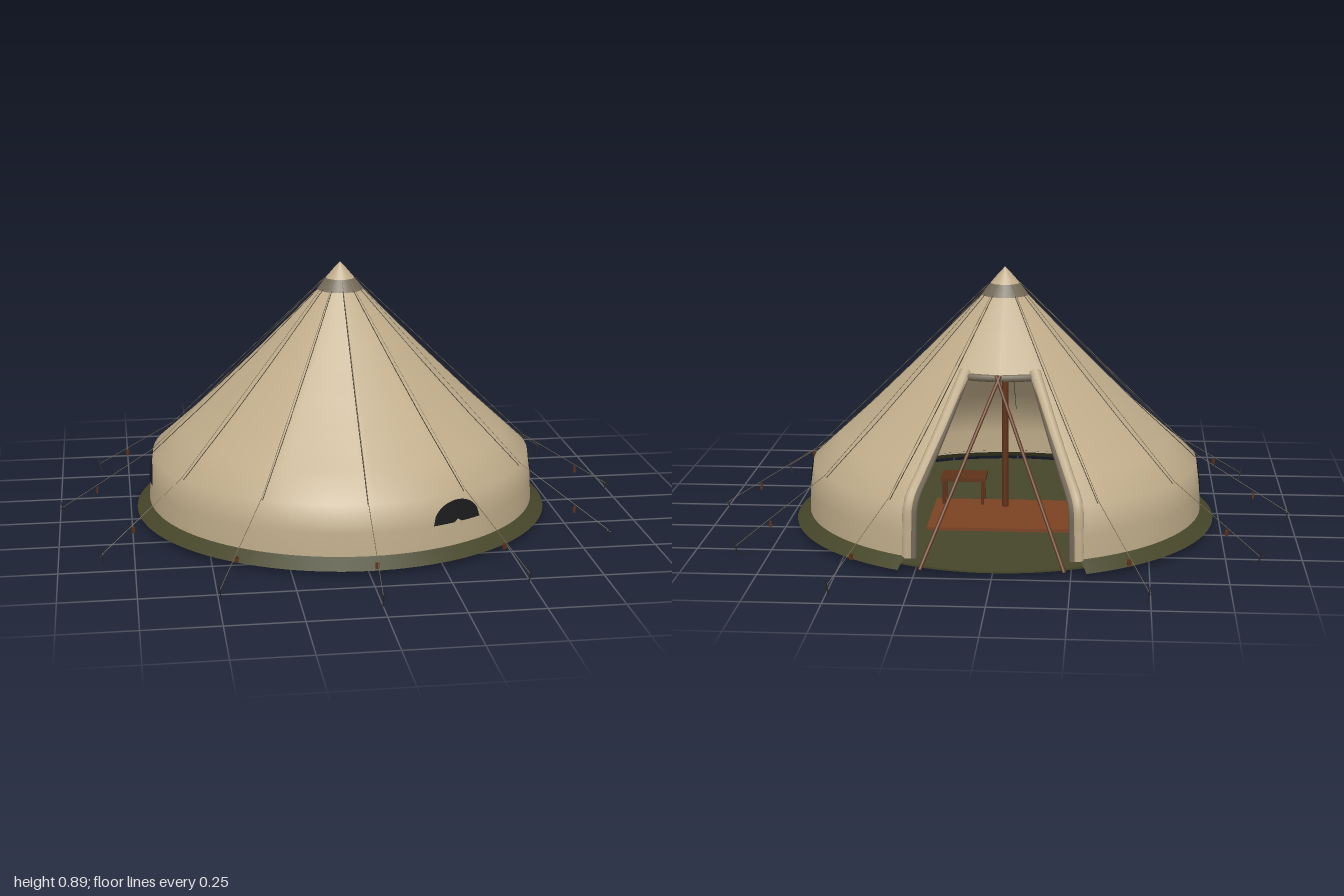
import * as THREE from 'three';

const mat = (name, color, side = THREE.FrontSide) => {
  const m = new THREE.MeshStandardMaterial({ color, side });
  m.name = name;
  return m;
};
const V = (x, y, z) => new THREE.Vector3(x, y, z);
// point at radius r, height y, angle a (0 = front, +90 degrees = +x)
const polar = (r, y, a) => V(r * Math.sin(a), y, r * Math.cos(a));
const P2 = (list) => list.map(([x, y]) => new THREE.Vector2(x, y));
const PANEL = Math.PI / 6;

// Lathe whose roof sags a little between the twelve seams
const clothLathe = (profile, segs, start, sweep) => {
  const g = new THREE.LatheGeometry(P2(profile), segs, start, sweep);
  const p = g.attributes.position;
  for (let i = 0; i < p.count; i++) {
    const a = Math.atan2(p.getX(i), p.getZ(i));
    const t = THREE.MathUtils.euclideanModulo(a, PANEL) - PANEL / 2;
    const w = 0.6 * THREE.MathUtils.clamp((p.getY(i) - 0.225) / 0.13, 0, 1);
    const k = THREE.MathUtils.lerp(1, Math.cos(PANEL / 2) / Math.cos(t), w);
    p.setX(i, p.getX(i) * k);
    p.setZ(i, p.getZ(i) * k);
  }
  g.computeVertexNormals();
  return g;
};

export function createModel() {
  const canvas = mat('canvas', 0xbfac8a, THREE.DoubleSide);
  const capBand = mat('cap band', 0x746a58, THREE.DoubleSide);
  const green = mat('groundsheet green', 0x46462a, THREE.DoubleSide);
  const wood = mat('wood', 0x5e3219);
  const rugBrown = mat('rug brown', 0x7a4222);
  const rope = mat('rope', 0x75684f);
  const seamDark = mat('seam dark', 0x40392e);
  const black = mat('window black', 0x1b1b1d, THREE.DoubleSide);
  const steel = mat('peg steel', 0x262626);

  const tent = new THREE.Group();
  tent.name = 'bellTent';
  tent.position.z = -0.068;

  const add = (name, geo, material, parent = tent) => {
    const m = new THREE.Mesh(geo, material);
    m.name = name;
    parent.add(m);
    return m;
  };
  const rod = (name, a, b, r, material, sides = 8, parent = tent) => {
    const d = b.clone().sub(a);
    const m = add(name, new THREE.CylinderGeometry(r, r, d.length(), sides), material, parent);
    m.position.copy(a).addScaledVector(d, 0.5);
    m.quaternion.setFromUnitVectors(V(0, 1, 0), d.normalize());
    return m;
  };
  const tube = (name, pts, r, material, segs = 32, sides = 8) =>
    add(name, new THREE.TubeGeometry(new THREE.CatmullRomCurve3(pts), segs, r, sides), material);

  const half = 0.425;                       // half angle of the doorway
  const start = -Math.PI + half;
  const sweep = 2 * (Math.PI - half);

  // Wall and lower roof, open at the doorway
  const lower = [[0.683, 0.045], [0.679, 0.13], [0.667, 0.222], [0.58, 0.303],
    [0.47, 0.404], [0.37, 0.501], [0.295, 0.574]];
  const upper = [[0.295, 0.574], [0.18, 0.69], [0.07, 0.803]];
  add('wallAndRoof', clothLathe(lower, 132, start, sweep), canvas);
  add('upperRoof', clothLathe(upper, 96, 0, Math.PI * 2), canvas);

  // Peak cap
  add('capBand', new THREE.LatheGeometry(P2([[0.08, 0.794], [0.066, 0.813], [0.05, 0.834]]), 24), capBand);
  add('capTip', new THREE.LatheGeometry(P2([[0.05, 0.834], [0.022, 0.867], [0.0, 0.89]]), 24), canvas);

  // Groundsheet: floor disc plus sloping skirt
  const floor = add('floor', new THREE.CylinderGeometry(0.672, 0.672, 0.006, 96), green);
  floor.position.y = 0.02;
  add('skirt', new THREE.LatheGeometry(P2([[0.728, 0.018], [0.682, 0.052]]), 96, start, sweep), green);

  // Rolled door flaps with a darker inner edge, and the hem over the doorway
  for (const s of [-1, 1]) {
    const along = (a) => lower.map(([r, y]) =>
      polar(r - 0.014, y + (y > 0.25 ? 0.004 : 0), Math.PI + s * a));
    tube(s < 0 ? 'leftDoorRoll' : 'rightDoorRoll', along(half - 0.005), 0.02, canvas, 40, 10);
    tube('doorEdge', along(half - 0.035), 0.011, capBand, 40, 6);
  }
  const hem = [];
  for (let i = 0; i <= 8; i++) hem.push(polar(0.292, 0.562, Math.PI + half * (i / 4 - 1)));
  tube('doorHem', hem, 0.012, capBand, 24);

  // A-frame door poles and centre pole
  for (const s of [-1, 1])
    rod('doorPole', V(s * 0.23, 0.02, -0.662), V(-s * 0.006, 0.585, -0.355), 0.006, wood);
  rod('centrePole', V(0, 0.024, 0), V(0, 0.86, 0), 0.011, wood, 12);

  // Half-round windows curved onto the wall
  const windowAt = (a) => {
    const g = new THREE.PlaneGeometry(2, 1, 24, 4);
    const p = g.attributes.position;
    for (let i = 0; i < p.count; i++) {
      const u = p.getX(i), v = p.getY(i) + 0.5;
      const foot = Math.max(0, 0.01 - Math.abs(u) * 0.06);
      const top = 0.13 + 0.074 * Math.sqrt(Math.max(0, 1 - u * u));
      const y = THREE.MathUtils.lerp(0.13 + foot, top, v);
      const q = polar(0.683 - (y - 0.13) * 0.13, y, a + u * 0.14);
      p.setXYZ(i, q.x, q.y, q.z);
    }
    g.computeVertexNormals();
    add('window', g, black);
  };
  [Math.PI / 2, -Math.PI / 2, 0.47].forEach(windowAt);

  // Seams, guy ropes, sliders and pegs, none in front of the door
  for (let i = 0; i < 12; i++) {
    if (i === 6) continue;
    const a = i * PANEL;
    tube('roofSeam', lower.slice(2).concat(upper.slice(1)).map(([r, y]) => polar(r, y + 0.001, a)),
      0.0014, seamDark, 24, 5);
    const eave = polar(0.672, 0.232, a), pegTop = polar(0.992, 0.03, a);
    rod('roofRope', eave, polar(0.055, 0.832, a), 0.0009, rope, 5);
    rod('guyRope', eave, pegTop, 0.0011, rope, 5);
    const slider = add('ropeSlider', new THREE.BoxGeometry(0.012, 0.02, 0.006), wood);
    slider.position.copy(polar(0.868, 0.09, a));
    slider.rotation.y = a;
    rod('peg', polar(0.982, 0, a), polar(0.997, 0.052, a), 0.0022, steel, 6);
    rod('pegHook', polar(0.984, 0.03, a), polar(0.998, 0.026, a), 0.002, steel, 5);
  }

  // Rug and low table inside
  const rug = add('rug', new THREE.BoxGeometry(0.5, 0.012, 0.34), rugBrown);
  rug.position.set(0, 0.028, -0.09);
  const table = new THREE.Group();
  table.name = 'lowTable';
  table.position.set(0.15, 0.024, 0.06);
  tent.add(table);
  add('tableTop', new THREE.BoxGeometry(0.16, 0.012, 0.11), wood, table).position.y = 0.1;
  for (const x of [-0.068, 0.068])
    for (const z of [-0.043, 0.043])
      rod('tableLeg', V(x, 0, z), V(x, 0.1, z), 0.006, wood, 6, table);

  const model = new THREE.Group();
  model.name = 'model';
  model.add(tent);
  return model;
}
